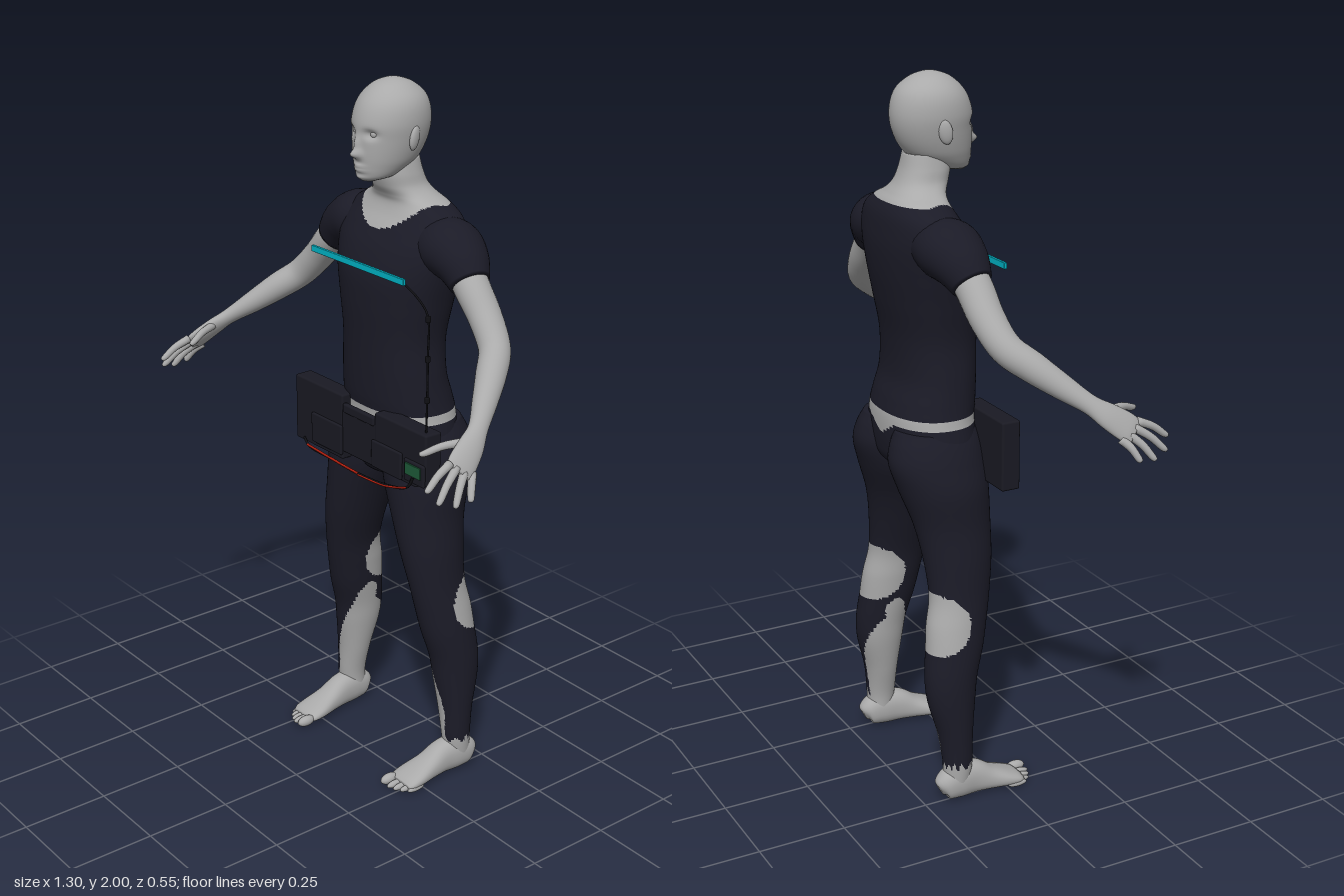
import * as THREE from 'three';
import { RoundedBoxGeometry } from 'three/addons/geometries/RoundedBoxGeometry.js';

const V = (x, y, z) => new THREE.Vector3(x, y, z);
const lerp = THREE.MathUtils.lerp, smooth = THREE.MathUtils.smoothstep;

const mat = (name, color) => {
  const m = new THREE.MeshStandardMaterial({ color });
  m.name = name;
  return m;
};

// Smooth skin over elliptical sections [x, y, z, ra, rb]; rb lies along ref.
// level keeps the sections horizontal, otherwise they follow the path.
function loft(rows, { n = 24, seg = 32, ref = V(0, 0, 1), level = false, e = 2 } = {}) {
  const path = new THREE.CatmullRomCurve3(rows.map(r => V(r[0], r[1], r[2])), false, 'catmullrom');
  const size = new THREE.CatmullRomCurve3(rows.map(r => V(r[3], r[4], 0)), false, 'catmullrom');
  const pos = [], idx = [];
  const sup = c => Math.sign(c) * Math.abs(c) ** (2 / e);
  for (let i = 0; i <= n; i++) {
    const c = path.getPoint(i / n), s = size.getPoint(i / n);
    const t = level ? V(0, 1, 0) : path.getTangent(i / n);
    const v = ref.clone().addScaledVector(t, -ref.dot(t)).normalize();
    const u = v.clone().cross(t);
    for (let j = 0; j < seg; j++) {
      const a = j / seg * Math.PI * 2;
      const p = c.clone().addScaledVector(u, sup(Math.cos(a)) * s.x).addScaledVector(v, sup(Math.sin(a)) * s.y);
      pos.push(p.x, p.y, p.z);
      if (i < n) {
        const k = i * seg + j, l = i * seg + (j + 1) % seg;
        idx.push(k, l, k + seg, l, l + seg, k + seg);
      }
    }
  }
  // End caps
  const first = path.getPoint(0), last = path.getPoint(1), base = (n + 1) * seg;
  pos.push(...first.toArray(), ...last.toArray());
  for (let j = 0; j < seg; j++) {
    const l = (j + 1) % seg;
    idx.push(base, l, j, base + 1, n * seg + j, n * seg + l);
  }
  const g = new THREE.BufferGeometry();
  g.setAttribute('position', new THREE.Float32BufferAttribute(pos, 3));
  g.setIndex(idx);
  g.computeVertexNormals();
  return g;
}

// Level section from front and back z, as [x, y, z, halfWidth, halfDepth]
const slice = ([x, y, hw, f, b]) => [x, y, (f + b) / 2, hw, (f - b) / 2];

// Sort faces into cloth (group 0) and bare skin (group 1)
function dress(g, isSkin) {
  const p = g.attributes.position, ix = g.index.array, sets = [[], []];
  for (let i = 0; i < ix.length; i += 3) {
    const f = [ix[i], ix[i + 1], ix[i + 2]];
    const mid = fn => (p[fn](f[0]) + p[fn](f[1]) + p[fn](f[2])) / 3;
    sets[isSkin(Math.abs(mid('getX')), mid('getY'), mid('getZ')) ? 1 : 0].push(...f);
  }
  g.setIndex([...sets[0], ...sets[1]]);
  g.addGroup(0, sets[0].length, 0);
  g.addGroup(sets[0].length, sets[1].length, 1);
  return g;
}

export function createModel() {
  const root = new THREE.Group();
  const skin = mat('skin grey', 0xaaaaaa), cloth = mat('dark cloth', 0x1b1b27);
  const pack = mat('pack black', 0x1a1a23), cyan = mat('cyan strap', 0x00b4c6);
  const red = mat('red wire', 0xb5200f), black = mat('cable black', 0x101014), green = mat('board green', 0x1d5a38);
  const add = (name, geo, material) => {
    const m = new THREE.Mesh(geo, material);
    m.name = name;
    root.add(m);
    return m;
  };

  // Torso and neck: shirt with a scooped neckline, bare strip at the waist
  const torso = loft([
    [0, 0.9, 0.08, -0.03, -0.18], [0, 0.95, 0.17, -0.002, -0.235], [0, 1.0, 0.2, 0, -0.25],
    [0, 1.08, 0.185, -0.003, -0.252], [0, 1.13, 0.177, 0.002, -0.242], [0, 1.2, 0.17, 0.005, -0.222],
    [0, 1.3, 0.165, 0.008, -0.222], [0, 1.4, 0.182, 0.012, -0.238], [0, 1.48, 0.2, 0.01, -0.25],
    [0, 1.55, 0.215, -0.01, -0.255], [0, 1.6, 0.215, -0.037, -0.252], [0, 1.64, 0.19, -0.062, -0.245],
    [0, 1.67, 0.14, -0.073, -0.23], [0, 1.69, 0.1, -0.068, -0.213], [0, 1.715, 0.076, -0.055, -0.195],
    [0, 1.75, 0.068, -0.047, -0.18], [0, 1.79, 0.06, -0.05, -0.17],
  ].map(slice), { n: 150, seg: 80, level: true, e: 2.25 });
  add('torso', dress(torso, (x, y, z) => {
    const neck = lerp(1.668, 1.6 + 0.075 * (x / 0.13) ** 2, smooth(z, -0.18, -0.1));
    const waist = 1.073 - (z < -0.15 ? 0.035 * Math.exp(-((x / 0.05) ** 2)) : 0);
    return y > neck || (y > waist && y < 1.097);
  }), [cloth, skin]);

  // Head with face relief: [x, y, push, spread x, spread y]
  const head = loft([
    [0, 1.737, 0.022, 0.003, -0.04], [0, 1.75, 0.05, 0.013, -0.1], [0, 1.78, 0.07, 0.018, -0.155],
    [0, 1.81, 0.081, 0.02, -0.182], [0, 1.85, 0.09, 0.02, -0.2], [0, 1.89, 0.095, 0.02, -0.206],
    [0, 1.93, 0.091, 0.008, -0.2], [0, 1.96, 0.077, -0.012, -0.184], [0, 1.985, 0.05, -0.042, -0.152],
    [0, 1.997, 0.022, -0.074, -0.12], [0, 2, 0.004, -0.093, -0.1],
  ].map(slice), { n: 70, seg: 80, level: true });
  const relief = [[0, 1.812, 0.024, 0.013, 0.012], [0, 1.838, 0.012, 0.009, 0.02], [0, 1.768, 0.008, 0.022, 0.006],
    [0, 1.78, 0.007, 0.02, 0.005], [-0.037, 1.866, -0.014, 0.017, 0.011], [0.037, 1.866, -0.014, 0.017, 0.011],
    [0, 1.748, 0.006, 0.02, 0.008]];
  const hp = head.attributes.position;
  for (let i = 0; i < hp.count; i++) {
    if (hp.getZ(i) < -0.06) continue;
    const push = relief.reduce((s, [x, y, d, sx, sy]) =>
      s + d * Math.exp(-(((hp.getX(i) - x) / sx) ** 2) - ((hp.getY(i) - y) / sy) ** 2), 0);
    hp.setZ(i, hp.getZ(i) + push);
  }
  head.computeVertexNormals();
  add('head', head, skin);

  const packBox = (name, w, h, d, x, y, z, m = pack, r = 0.006) =>
    add(name, new RoundedBoxGeometry(w, h, d, 2, r), m).position.set(x, y, z);
  const wire = (name, pts, r, m) =>
    add(name, new THREE.TubeGeometry(new THREE.CatmullRomCurve3(pts.map(p => V(...p))), 40, r, 6), m);

  for (const s of [1, -1]) {
    const side = s > 0 ? 'left' : 'right';
    const flip = rows => rows.map(([x, ...r]) => [x * s, ...r]);

    // Eyes and ears
    const eye = add(side + 'Eye', new THREE.SphereGeometry(0.011, 16, 12), skin);
    eye.position.set(0.037 * s, 1.866, -0.007);
    const ear = add(side + 'Ear', new THREE.SphereGeometry(1, 20, 14), skin);
    ear.scale.set(0.01, 0.033, 0.019);
    ear.position.set(0.092 * s, 1.853, -0.097);
    ear.rotation.set(-0.2, 0.35 * s, 0);

    // Sleeve
    add(side + 'Sleeve', loft(flip([
      [0.12, 1.575, -0.145, 0.065, 0.08], [0.19, 1.57, -0.142, 0.08, 0.09],
      [0.245, 1.545, -0.135, 0.07, 0.078], [0.291, 1.5, -0.126, 0.053, 0.056],
    ]), { n: 24 }), cloth);

    // Arm and palm
    const across = V(-0.02 * s, 0.03, 0.07).normalize();
    add(side + 'Arm', loft(flip([
      [0.24, 1.55, -0.135, 0.05, 0.05], [0.3, 1.49, -0.125, 0.047, 0.05], [0.36, 1.425, -0.12, 0.043, 0.047],
      [0.42, 1.362, -0.1, 0.041, 0.043], [0.465, 1.318, -0.05, 0.039, 0.041], [0.51, 1.27, 0.01, 0.031, 0.034],
      [0.552, 1.226, 0.068, 0.021, 0.027], [0.575, 1.195, 0.11, 0.019, 0.036],
      [0.593, 1.163, 0.155, 0.015, 0.041], [0.602, 1.148, 0.175, 0.009, 0.036],
    ]), { n: 54, ref: across }), skin);

    // Fingers: knuckle and tip
    [['index', [0.587, 1.172, 0.19], [0.6, 1.122, 0.278]], ['middle', [0.595, 1.16, 0.175], [0.625, 1.092, 0.26]],
      ['ring', [0.602, 1.147, 0.155], [0.641, 1.078, 0.217]], ['little', [0.605, 1.138, 0.132], [0.645, 1.083, 0.17]],
      ['thumb', [0.565, 1.205, 0.115], [0.515, 1.183, 0.23]]].forEach(([name, a, b]) => {
      const at = (t, r) => [...a.map((v, i) => lerp(v, b[i], t)), r, r];
      const mid = at(0.5, 0.0105);
      mid[1] += 0.006;
      add(`${side} ${name} finger`, loft(flip([at(0, 0.012), mid, at(0.85, 0.009), at(0.97, 0.006), at(1, 0.001)]),
        { n: 14, seg: 12, ref: across }), skin);
    });

    // Leg: trousers, bare behind the knee, inside the calf and below the ragged hem
    const leg = loft(flip([
      [0.246, 0.04, 0.036, -0.115, -0.19], [0.247, 0.11, 0.04, -0.105, -0.19], [0.238, 0.2, 0.05, -0.1, -0.2],
      [0.228, 0.3, 0.06, -0.088, -0.225], [0.222, 0.37, 0.064, -0.078, -0.23], [0.212, 0.45, 0.067, -0.055, -0.222],
      [0.203, 0.52, 0.067, -0.04, -0.215], [0.192, 0.6, 0.067, -0.025, -0.2], [0.172, 0.7, 0.08, -0.01, -0.205],
      [0.148, 0.8, 0.094, -0.003, -0.222], [0.125, 0.9, 0.116, 0, -0.255], [0.112, 0.97, 0.112, -0.002, -0.275],
      [0.105, 1.02, 0.1, -0.008, -0.268], [0.098, 1.06, 0.085, -0.02, -0.25],
    ].map(slice)), { n: 130, seg: 56, level: true });
    add(side + 'Leg', dress(leg, (x, y, z) => {
      const hem = 0.112 + 0.01 * Math.sin(x * 300 + z * 220);
      const knee = ((z + 0.215) / 0.1) ** 2 + ((y - 0.535) / 0.085) ** 2 < 1;
      const inner = y < 0.5 && x < 0.25 - 0.12 * smooth(y, 0.17, 0.53) - (z < -0.17 ? 0.015 : 0);
      return y < hem || knee || inner;
    }), [cloth, skin]);

    // Foot, sectioned from heel to toes
    add(side + 'Foot', loft(flip([
      [0.248, 0.035, -0.203, 0.012, 0.018], [0.248, 0.042, -0.19, 0.032, 0.04], [0.246, 0.052, -0.15, 0.038, 0.052],
      [0.242, 0.05, -0.1, 0.038, 0.05], [0.24, 0.036, -0.05, 0.042, 0.036], [0.238, 0.025, 0, 0.05, 0.025],
      [0.237, 0.018, 0.035, 0.05, 0.017], [0.237, 0.014, 0.052, 0.042, 0.009],
    ]), { n: 36, ref: V(0, 1, 0), e: 2.3 }), skin);
    [0.018, 0.012, 0.011, 0.0105, 0.01].forEach((r, i) => {
      const toe = add(`${side} toe ${i + 1}`, new THREE.SphereGeometry(1, 14, 10), skin);
      toe.scale.set(r * 0.85, r * 0.9, 0.03);
      toe.position.set(s * [0.202, 0.227, 0.246, 0.264, 0.28][i], r * 0.9, 0.064 - i * i * 0.0022);
    });
  }

  // Chest strap
  packBox('chestStrap', 0.4, 0.018, 0.009, 0, 1.509, 0.022, cyan, 0.002);

  // Waist pack: belt, pouches, flaps and buckle
  packBox('packBelt', 0.5, 0.13, 0.03, 0, 1.005, 0.003);
  packBox('rightPouch', 0.22, 0.195, 0.055, -0.182, 1.013, -0.008);
  packBox('leftPouch', 0.22, 0.15, 0.055, 0.182, 1.03, -0.008);
  packBox('rightFlap', 0.14, 0.09, 0.01, -0.14, 0.975, 0.022);
  packBox('leftFlap', 0.13, 0.08, 0.01, 0.13, 0.985, 0.022);
  packBox('buckle', 0.14, 0.028, 0.016, 0, 1.075, 0.014);
  packBox('boardHolder', 0.085, 0.065, 0.012, 0.248, 0.985, 0.02);
  packBox('circuitBoard', 0.064, 0.034, 0.006, 0.248, 0.992, 0.027, green, 0.002);

  // Wires below the pack
  const sag = [[-0.245, 0.93, 0.025], [-0.22, 0.915, 0.03], [-0.1, 0.91, 0.032], [0.02, 0.907, 0.033],
    [0.14, 0.915, 0.032], [0.23, 0.94, 0.03], [0.25, 0.975, 0.028]];
  wire('packCable', sag, 0.004, black);
  wire('redWireRight', sag.slice(1, 4).map(([x, y, z]) => [x, y + 0.002, z + 0.003]), 0.0035, red);
  wire('redWireLeft', sag.slice(3, 6).map(([x, y, z]) => [x, y - 0.002, z + 0.003]), 0.003, red);

  // Cable from the strap to the pack, with clips
  wire('sideCable', [[0.19, 1.505, 0.018], [0.25, 1.475, 0.015], [0.283, 1.44, 0.012], [0.29, 1.32, 0.015],
    [0.286, 1.2, 0.012], [0.27, 1.1, 0]], 0.003, black);
  for (const y of [1.43, 1.32, 1.205]) packBox('cableClip', 0.012, 0.018, 0.012, 0.287, y, 0.013, black, 0.003);

  return root;
}
